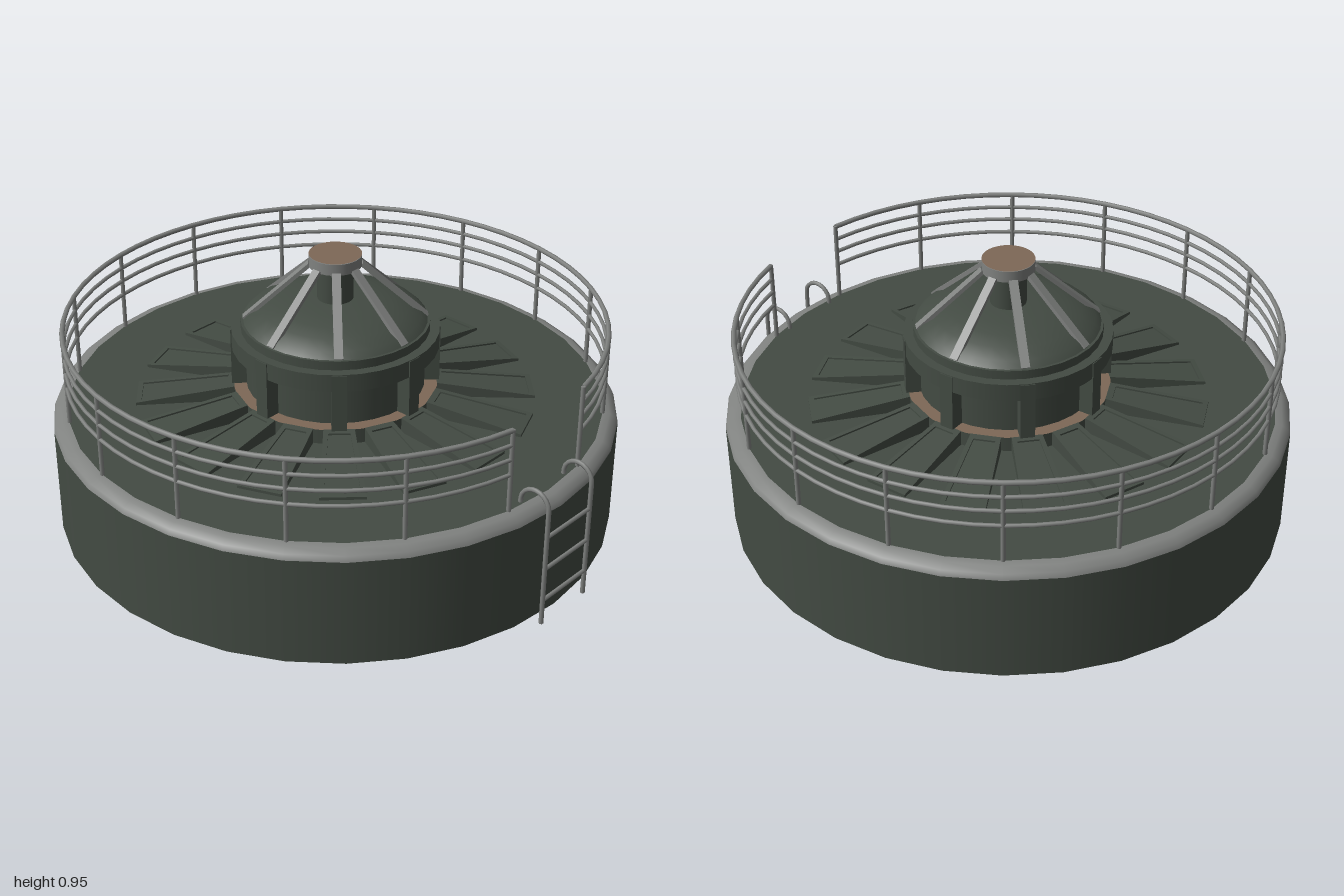
import * as THREE from 'three';

const SIDES = 32;

export function createModel() {
  const root = new THREE.Group();
  root.name = 'tank';
  const body = new THREE.Group(); // everything is concentric about this axis
  body.name = 'tankBody';
  body.position.x = -0.02;
  root.add(body);

  const mat = (name, color, side = THREE.FrontSide) => {
    const m = new THREE.MeshStandardMaterial({ color, side });
    m.name = name;
    return m;
  };
  const green = mat('dark green', 0x434b43, THREE.DoubleSide);
  const grey = mat('steel grey', 0x808280, THREE.DoubleSide);
  const tan = mat('rust brown', 0x7e6857, THREE.DoubleSide);

  const add = (name, geo, material, parent = body) => {
    const m = new THREE.Mesh(geo, material);
    m.name = name;
    parent.add(m);
    return m;
  };
  const lathe = (pts, n = SIDES) =>
    new THREE.LatheGeometry(pts.map(p => new THREE.Vector2(p[0], p[1])), n);
  const drum = (name, r, y0, y1, material, open = false) => {
    const g = new THREE.CylinderGeometry(r, r, y1 - y0, SIDES, 1, open);
    g.translate(0, (y0 + y1) / 2, 0);
    return add(name, g, material);
  };
  const ring = (name, r0, r1, y, material) => {
    const g = r0 > 0 ? new THREE.RingGeometry(r0, r1, SIDES) : new THREE.CircleGeometry(r1, SIDES);
    g.rotateX(-Math.PI / 2).translate(0, y, 0);
    return add(name, g, material);
  };
  // round or flat bar between two points
  const bar = (name, a, b, r, material, parent = body) => {
    const d = b.clone().sub(a);
    const m = add(name, new THREE.CylinderGeometry(r, r, d.length(), 6), material, parent);
    m.position.copy(a).add(b).multiplyScalar(0.5);
    m.quaternion.setFromUnitVectors(new THREE.Vector3(0, 1, 0), d.normalize());
    return m;
  };
  const V = (x, y, z) => new THREE.Vector3(x, y, z);

  // Open-bottomed shell, rounded rim and deck with a central opening
  drum('wall', 0.98, 0, 0.385, green, true);
  add('rim', lathe([[0.98, 0.385], [0.972, 0.403], [0.95, 0.417], [0.925, 0.42]]), grey);
  ring('deck', 0.306, 0.926, 0.42, green);

  // Central turret
  drum('recessWall', 0.306, 0.42, 0.475, green, true);
  drum('turretBase', 0.355, 0.42, 0.472, green, true);
  ring('turretFloor', 0, 0.355, 0.473, tan);
  drum('turretBody', 0.31, 0.473, 0.66, green, true);
  drum('flange', 0.358, 0.62, 0.683, green);
  drum('collar', 0.325, 0.683, 0.715, green);
  add('dome', lathe([[0.318, 0.713], [0.295, 0.735], [0.25, 0.757], [0.2, 0.773],
    [0.14, 0.784], [0.07, 0.789], [0, 0.79]]), green);
  drum('neck', 0.062, 0.78, 0.915, green, true);
  drum('cap', 0.09, 0.91, 0.95, grey);
  ring('capTop', 0, 0.09, 0.952, tan);

  // Ribs on the turret and struts up to the cap
  for (let i = 0; i < 8; i++) {
    const spoke = new THREE.Group();
    spoke.name = 'spoke';
    spoke.rotation.y = i * Math.PI / 4;
    body.add(spoke);
    const rib = add('rib', new THREE.BoxGeometry(0.05, 0.21, 0.055), green, spoke);
    rib.position.set(0, 0.575, 0.332);
    const run = 0.225, rise = 0.2;
    const strut = add('strut', new THREE.BoxGeometry(0.03, Math.hypot(run, rise), 0.014), grey, spoke);
    strut.position.set(0, 0.815, 0.2);
    strut.rotation.x = -Math.atan2(run, rise);
  }

  // Sixteen sloping tapered vents, each a plate with a raised frame
  const trapezoid = (C, r0, r1, w0, w1) => {
    const s = new C();
    s.moveTo(-w0, r0);
    s.lineTo(w0, r0);
    s.lineTo(w1, r1);
    s.lineTo(-w1, r1);
    s.closePath();
    return s;
  };
  const slope = (shape, lift) => {
    const g = new THREE.ExtrudeGeometry(shape, { depth: 1, bevelEnabled: false });
    g.rotateX(-Math.PI / 2);
    const p = g.attributes.position;
    for (let i = 0; i < p.count; i++) {
      const t = (-p.getZ(i) - 0.35) / 0.34;
      p.setY(i, p.getY(i) > 0.5 ? 0.468 - 0.044 * t + lift : 0.415);
    }
    g.computeVertexNormals();
    return g;
  };
  const plateGeo = slope(trapezoid(THREE.Shape, 0.35, 0.69, 0.052, 0.076), 0);
  const frameShape = trapezoid(THREE.Shape, 0.35, 0.69, 0.052, 0.076);
  frameShape.holes.push(trapezoid(THREE.Path, 0.372, 0.672, 0.037, 0.059));
  const frameGeo = slope(frameShape, 0.006);
  for (let i = 0; i < 16; i++) {
    for (const [name, geo] of [['ventPlate', plateGeo], ['ventFrame', frameGeo]]) {
      add(name, geo, green).rotation.y = i * Math.PI / 8;
    }
  }

  // Guard rail with a gap at the ladder
  const R = 0.925, half = Math.PI / 16;
  for (const [y, r] of [[0.713, 0.009], [0.66, 0.007], [0.608, 0.007], [0.553, 0.007]]) {
    const g = new THREE.TorusGeometry(R, r, 6, 60, Math.PI * 2 - 2 * half);
    g.rotateZ(half).rotateX(Math.PI / 2).translate(0, y, 0);
    add('guardRail', g, grey);
  }
  for (let i = 0; i < 16; i++) {
    const a = half + i * Math.PI / 8;
    const x = R * Math.cos(a), z = R * Math.sin(a);
    bar('railPost', V(x, 0.415, z), V(x, 0.715, z), 0.008, grey);
  }

  // Ladder whose stiles arch over onto the deck
  const ladder = new THREE.Group();
  ladder.name = 'ladder';
  root.add(ladder);
  for (const z of [-0.113, 0.113]) {
    const path = new THREE.CurvePath();
    const arch = [];
    for (let i = 0; i <= 8; i++) {
      const a = i * Math.PI / 8;
      arch.push(V(0.937 + 0.055 * Math.cos(a), 0.43 + 0.055 * Math.sin(a), z));
    }
    path.add(new THREE.LineCurve3(V(0.992, 0, z), arch[0]));
    path.add(new THREE.CatmullRomCurve3(arch));
    path.add(new THREE.LineCurve3(arch[8], V(0.882, 0.41, z)));
    add('ladderStile', new THREE.TubeGeometry(path, 40, 0.008, 6), grey, ladder);
  }
  for (const y of [0.09, 0.212, 0.333]) {
    bar('ladderRung', V(0.992, y, -0.113), V(0.992, y, 0.113), 0.007, grey, ladder);
  }
  return root;
}
